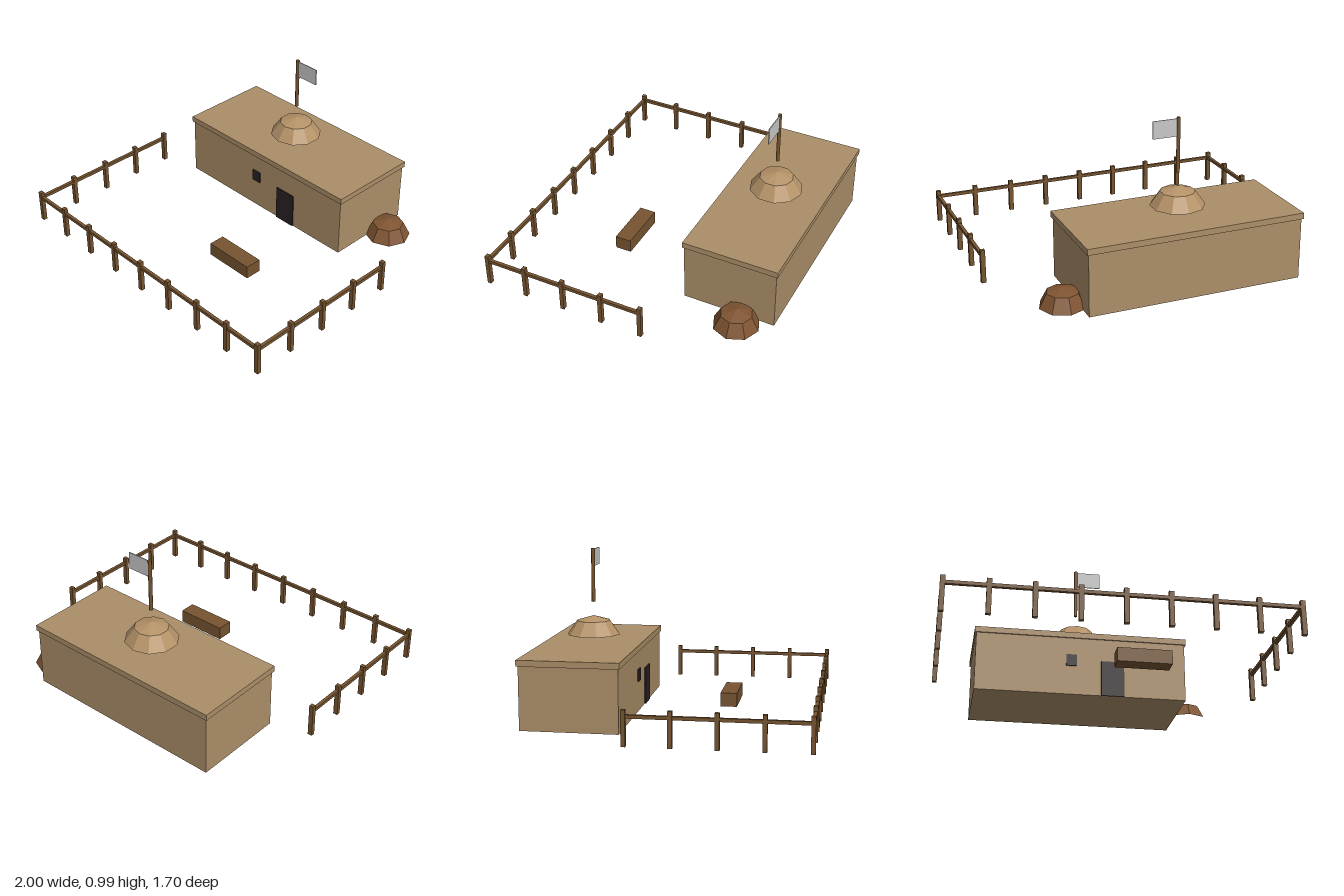
import * as THREE from 'three';

const mat = (name, color) => {
  const m = new THREE.MeshStandardMaterial({ color });
  m.name = name;
  return m;
};

export function createModel() {
  const model = new THREE.Group();
  model.name = 'adobeHouseYard';

  const adobe = mat('adobe', 0xab8e68);
  const domeClay = mat('domeClay', 0xb59268);
  const wood = mat('wood', 0x765430);
  const mudBrown = mat('mudBrown', 0x7f5431);
  const dark = mat('darkOpening', 0x2b2224);
  const cloth = mat('flagCloth', 0xc8c8c8);

  const add = (name, geometry, material, x, y, z, parent = model) => {
    const mesh = new THREE.Mesh(geometry, material);
    mesh.name = name;
    mesh.position.set(x, y, z);
    parent.add(mesh);
    return mesh;
  };

  // Box given by its lower and upper limits on each axis
  const box = (name, material, [x0, x1], [y0, y1], [z0, z1], parent) =>
    add(name, new THREE.BoxGeometry(x1 - x0, y1 - y0, z1 - z0), material,
      (x0 + x1) / 2, (y0 + y1) / 2, (z0 + z1) / 2, parent);

  // Faceted dome, open underneath
  const facetedDome = (radius, ringRadius, ringHeight, height, sides) => {
    const profile = [[radius, 0], [ringRadius, ringHeight], [0, height]]
      .map(([r, y]) => new THREE.Vector2(r, y));
    const geometry = new THREE.LatheGeometry(profile, sides).toNonIndexed();
    geometry.computeVertexNormals();
    return geometry;
  };

  // House
  const house = new THREE.Group();
  house.name = 'house';
  model.add(house);
  box('walls', adobe, [-0.745, 0.575], [0, 0.375], [-0.843, -0.264], house);
  box('roofSlab', adobe, [-0.755, 0.585], [0.375, 0.412], [-0.853, -0.255], house);
  box('door', dark, [0.04, 0.185], [0, 0.228], [-0.264, -0.256], house);
  box('window', dark, [-0.18, -0.115], [0.187, 0.262], [-0.264, -0.256], house);
  add('roofDome', facetedDome(0.163, 0.103, 0.085, 0.115, 10), domeClay, -0.085, 0.46, -0.555, house);

  // Flag
  add('flagPole', new THREE.CylinderGeometry(0.0115, 0.0115, 0.328, 8), wood, -0.085, 0.823, -0.555);
  box('flag', cloth, [-0.076, 0.074], [0.875, 0.98], [-0.558, -0.552]);

  // Mound oven beside the house and trough in the yard
  add('moundOven', facetedDome(0.142, 0.097, 0.085, 0.113, 8), mudBrown, 0.655, 0, -0.64);
  box('trough', wood, [0.04, 0.365], [0, 0.085], [0.215, 0.318]);

  // Fence: front row and two side rows
  const fence = new THREE.Group();
  fence.name = 'fence';
  model.add(fence);
  const sideX = 0.985, frontZ = 0.838, backZ = -0.187;
  const postGeometry = new THREE.BoxGeometry(0.028, 0.206, 0.025);
  const post = (x, z) => add('fencePost', postGeometry, wood, x, 0.103, z, fence);

  for (let i = 0; i <= 8; i++) post(-sideX + (i * 2 * sideX) / 8, frontZ);
  box('frontRail', wood, [-sideX, sideX], [0.158, 0.178], [frontZ - 0.01, frontZ + 0.01], fence);

  for (const side of [-1, 1]) {
    const x = side * sideX;
    for (let i = 0; i < 4; i++) post(x, backZ + (i * (frontZ - backZ)) / 4);
    box('sideRail', wood, [x - 0.01, x + 0.01], [0.158, 0.178], [backZ, frontZ], fence);
  }

  return model;
}
